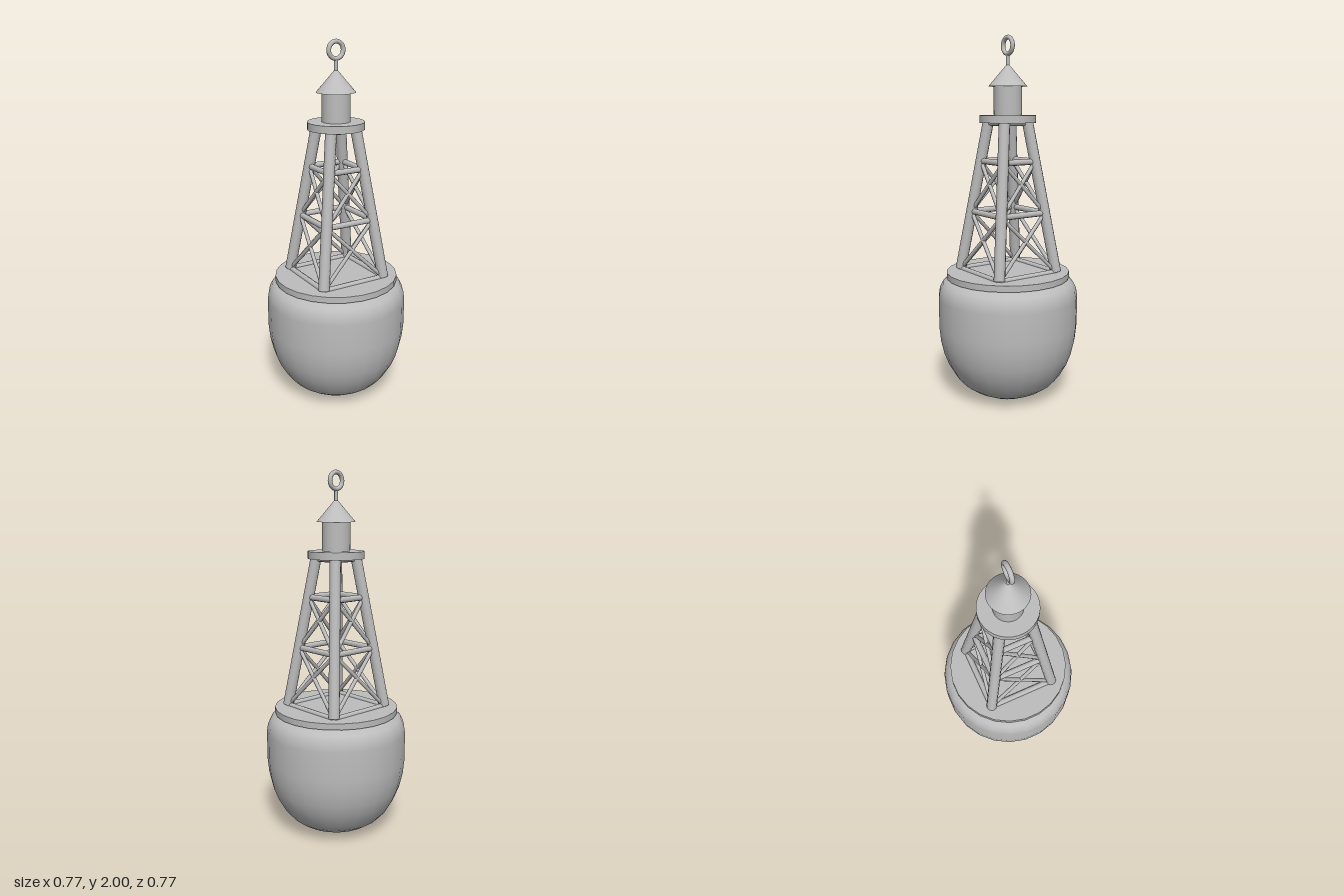
import * as THREE from 'three';

export function createModel() {
  const buoy = new THREE.Group();
  buoy.name = 'buoy';
  const grey = new THREE.MeshStandardMaterial({ color: 0xbdbdbd });
  grey.name = 'plain grey';

  const add = (name, geometry, parent = buoy) => {
    const mesh = new THREE.Mesh(geometry, grey);
    mesh.name = name;
    parent.add(mesh);
    return mesh;
  };
  const drum = (name, rTop, rBottom, y0, y1, sides) => {
    const mesh = add(name, new THREE.CylinderGeometry(rTop, rBottom, y1 - y0, sides));
    mesh.position.y = (y0 + y1) / 2;
    mesh.rotation.y = Math.PI / sides;
    return mesh;
  };
  // Round bar between two points
  const bar = (name, a, b, radius, sides, parent) => {
    const dir = b.clone().sub(a);
    const mesh = add(name, new THREE.CylinderGeometry(radius, radius, dir.length(), sides), parent);
    mesh.position.copy(a).add(b).multiplyScalar(0.5);
    mesh.quaternion.setFromUnitVectors(new THREE.Vector3(0, 1, 0), dir.normalize());
  };

  // Rounded float and its deck
  const profile = [
    [0, 0.005], [0.14, 0.015], [0.21, 0.05], [0.26, 0.085], [0.3, 0.13], [0.34, 0.2],
    [0.365, 0.265], [0.382, 0.34], [0.39, 0.42], [0.39, 0.58], [0.383, 0.625],
    [0.365, 0.66], [0.335, 0.682], [0.29, 0.688], [0, 0.688],
  ].map(([r, y]) => new THREE.Vector2(r, y));
  add('float', new THREE.LatheGeometry(profile, 24)).rotation.y = Math.PI / 24;
  drum('deck', 0.342, 0.342, 0.688, 0.722, 24);

  // Lattice tower: four leaning legs with rails and cross braces on each side
  const yBase = 0.725, yTop = 1.545;
  const corner = (y, sx, sz) => {
    const h = 0.19 - 0.114 * (y - yBase) / (yTop - yBase);
    return new THREE.Vector3(sx * h, y, sz * h);
  };
  const railHeights = [0.722, 1.052, 1.332, 1.54];
  for (let i = 0; i < 4; i++) {
    const side = new THREE.Group();
    side.name = 'towerSide' + (i + 1);
    side.rotation.y = i * Math.PI / 2;
    buoy.add(side);
    bar('leg', corner(yBase, 1, 1), corner(yTop, 1, 1), 0.03, 12, side);
    for (const y of railHeights) bar('rail', corner(y, -1, 1), corner(y, 1, 1), 0.0165, 8, side);
    for (let k = 0; k < 2; k++) {
      for (const s of [-1, 1]) {
        bar('crossBrace', corner(railHeights[k], s, 1), corner(railHeights[k + 1], -s, 1), 0.011, 8, side);
      }
    }
  }

  // Lantern platform, lantern and conical roof
  drum('platform', 0.153, 0.153, 1.54, 1.58, 32);
  drum('lantern', 0.076, 0.076, 1.58, 1.735, 32);
  drum('roof', 0.004, 0.105, 1.732, 1.85, 32);

  // Lifting eye
  drum('eyeStem', 0.01, 0.01, 1.83, 1.895, 12);
  add('liftingEye', new THREE.TorusGeometry(0.043, 0.012, 12, 32)).position.y = 1.945;

  return buoy;
}
